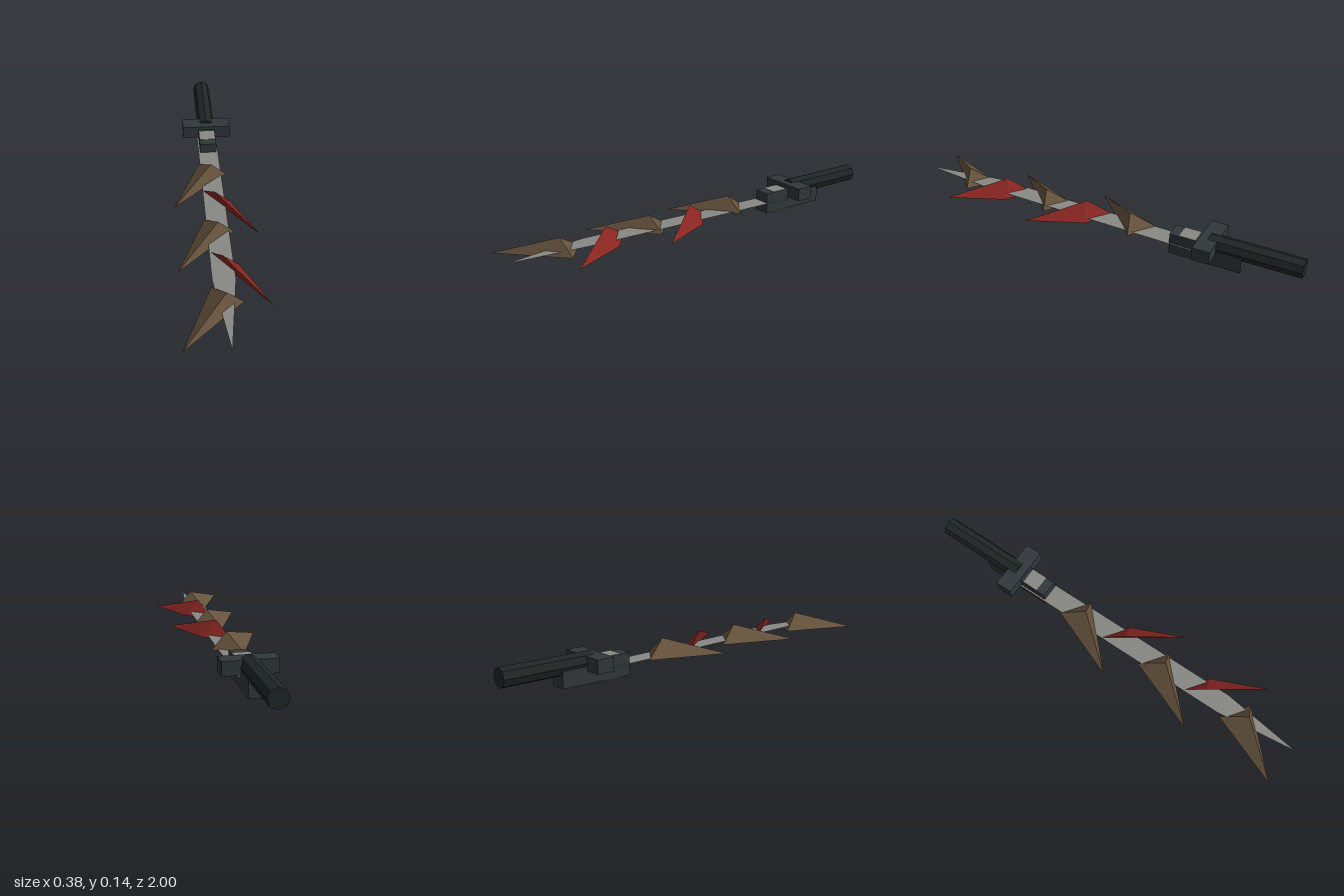
import * as THREE from 'three';
import { ConvexGeometry } from 'three/addons/geometries/ConvexGeometry.js';

const paint = (color) => new THREE.MeshStandardMaterial({ color, flatShading: true });

export function createModel() {
  const model = new THREE.Group();
  const steel = paint(0x888884);
  const iron = paint(0x30373a);
  const grip = paint(0x1f2526);
  const bone = paint(0x65523c);
  const red = paint(0x882621);

  const add = (name, geometry, material) => {
    const mesh = new THREE.Mesh(geometry, material);
    mesh.name = name;
    model.add(mesh);
    return mesh;
  };
  // Box given by half width and its y and z ranges
  const block = (name, halfX, y0, y1, z0, z1, material) => {
    const mesh = add(name, new THREE.BoxGeometry(halfX * 2, y1 - y0, z1 - z0), material);
    mesh.position.set(0, (y0 + y1) / 2, (z0 + z1) / 2);
  };
  const hull = (name, points, material) =>
    add(name, new ConvexGeometry(points.map((p) => new THREE.Vector3(...p))), material);

  // Eight-sided handle
  const handle = add('handle', new THREE.CylinderGeometry(0.045, 0.045, 0.435, 8), grip);
  handle.rotation.x = Math.PI / 2;
  handle.position.set(0, 0.095, -0.7825);

  // Guard, the clasp around the blade root and its pale inlay
  block('guard', 0.123, 0.062, 0.126, -0.608, -0.525, iron);
  block('clasp', 0.042, 0.003, 0.107, -0.555, -0.385, iron);
  block('claspTail', 0.042, 0.003, 0.08, -0.73, -0.55, iron);
  block('inlay', 0.04, 0, 0.109, -0.51, -0.43, steel);

  // Blade with a keeled underside, rising slightly to its point
  hull('blade', [
    [-0.05, 0.053, -0.6], [0.05, 0.053, -0.6], [0, 0.041, -0.6],
    [-0.05, 0.079, 0.61], [0.05, 0.079, 0.61], [0, 0.066, 0.61],
    [0, 0.075, 1],
  ], steel);

  // Barbs alternate between the two sides along the blade
  for (let i = 0; i < 5; i++) {
    const z = -0.165 + i * 0.2275;
    const side = i % 2 ? 1 : -1;
    hull(side > 0 ? 'leftBarb' : 'rightBarb', [
      [-0.055, 0.055, z - 0.118],
      [0.075, 0.055, z - 0.024],
      [side * 0.19, 0.055, z + 0.235],
      [0, 0.132, z],
    ], side > 0 ? red : bone);
  }
  return model;
}
